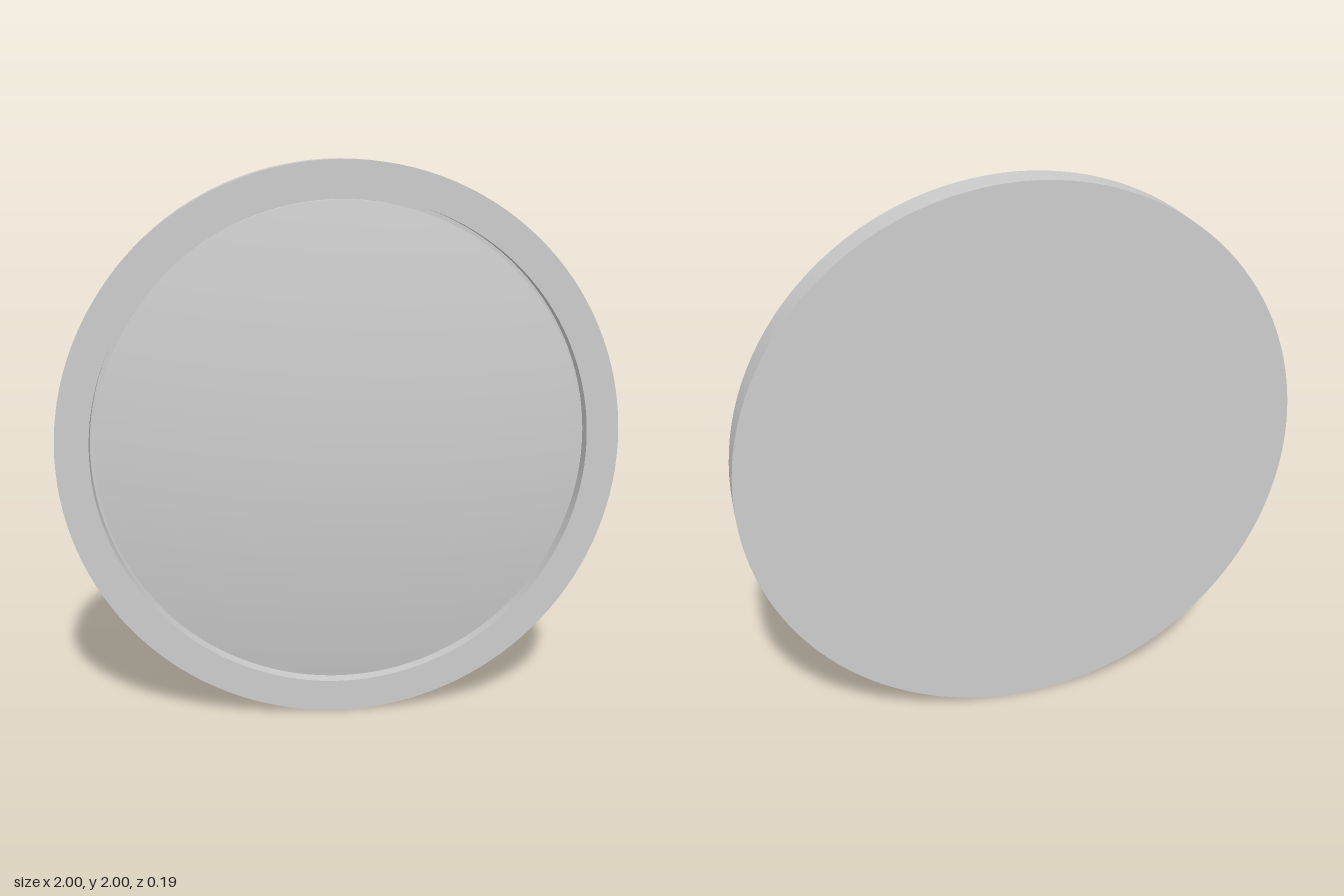
import * as THREE from 'three';
import { toCreasedNormals } from 'three/addons/utils/BufferGeometryUtils.js';

const SEGMENTS = 128;

// Turns a profile of [radius, z] points around the z axis, keeping its corners sharp
function turned(name, profile, material) {
  const points = profile.map(([r, z]) => new THREE.Vector2(r, z));
  const geometry = new THREE.LatheGeometry(points, SEGMENTS).rotateX(Math.PI / 2);
  const mesh = new THREE.Mesh(toCreasedNormals(geometry, 0.5), material);
  mesh.name = name;
  mesh.position.y = 1;
  return mesh;
}

export function createModel() {
  const group = new THREE.Group();
  group.name = 'domedDisc';
  const material = new THREE.MeshStandardMaterial({ color: 0xcccccc });

  const back = -0.095, front = 0.022, floor = -0.03;
  const rimInner = 0.883, lensRadius = 0.867;

  // Shallow cup: back plate, outer wall, flat rim, inner wall and groove floor
  group.add(turned('housing', [
    [0, back], [1, back], [1, front], [rimInner, front], [rimInner, floor], [lensRadius, floor],
  ], material));

  // Domed lens: straight edge, then a spherical cap up to the centre
  const peak = 0.095, sphere = 4.37, steps = 20;
  const lens = [[lensRadius, floor]];
  for (let i = steps; i >= 0; i--) {
    const r = lensRadius * i / steps;
    lens.push([r, peak - sphere + Math.sqrt(sphere * sphere - r * r)]);
  }
  group.add(turned('lens', lens, material));

  return group;
}
